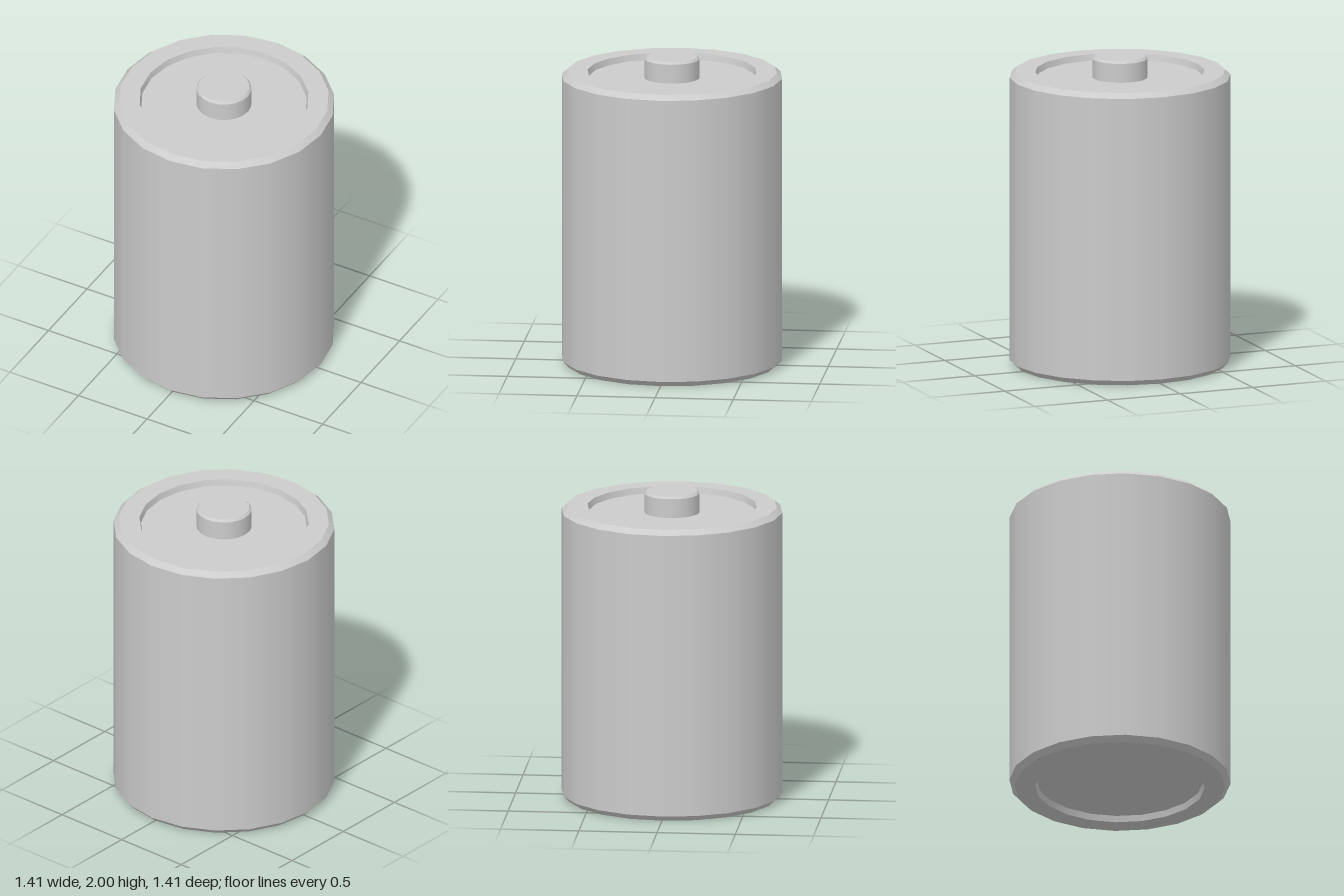
import * as THREE from 'three';
import { mergeGeometries } from 'three/addons/utils/BufferGeometryUtils.js';

const SIDES = 20;
const material = new THREE.MeshStandardMaterial({ color: 0xcccccc });

// Turns a profile, one band per segment: smooth around the axis, sharp between bands
function turned(name, profile) {
  const bands = [];
  for (let i = 0; i < profile.length - 1; i++) {
    const pair = [profile[i], profile[i + 1]].map(([r, y]) => new THREE.Vector2(r, y));
    bands.push(new THREE.LatheGeometry(pair, SIDES));
  }
  const mesh = new THREE.Mesh(mergeGeometries(bands), material);
  mesh.name = name;
  return mesh;
}

export function createModel() {
  const group = new THREE.Group();
  group.name = 'battery';

  // Casing with chamfered rims and a shallow recess at both ends
  group.add(turned('casing', [
    [0, 0.04], [0.53, 0.04], [0.54, 0],
    [0.67, 0], [0.705, 0.035], [0.705, 1.87], [0.67, 1.902],
    [0.54, 1.902], [0.53, 1.862], [0, 1.862],
  ]));

  // Raised contact in the middle of the top recess
  group.add(turned('terminal', [
    [0.176, 1.862], [0.176, 1.985], [0.162, 2], [0, 2],
  ]));

  return group;
}
